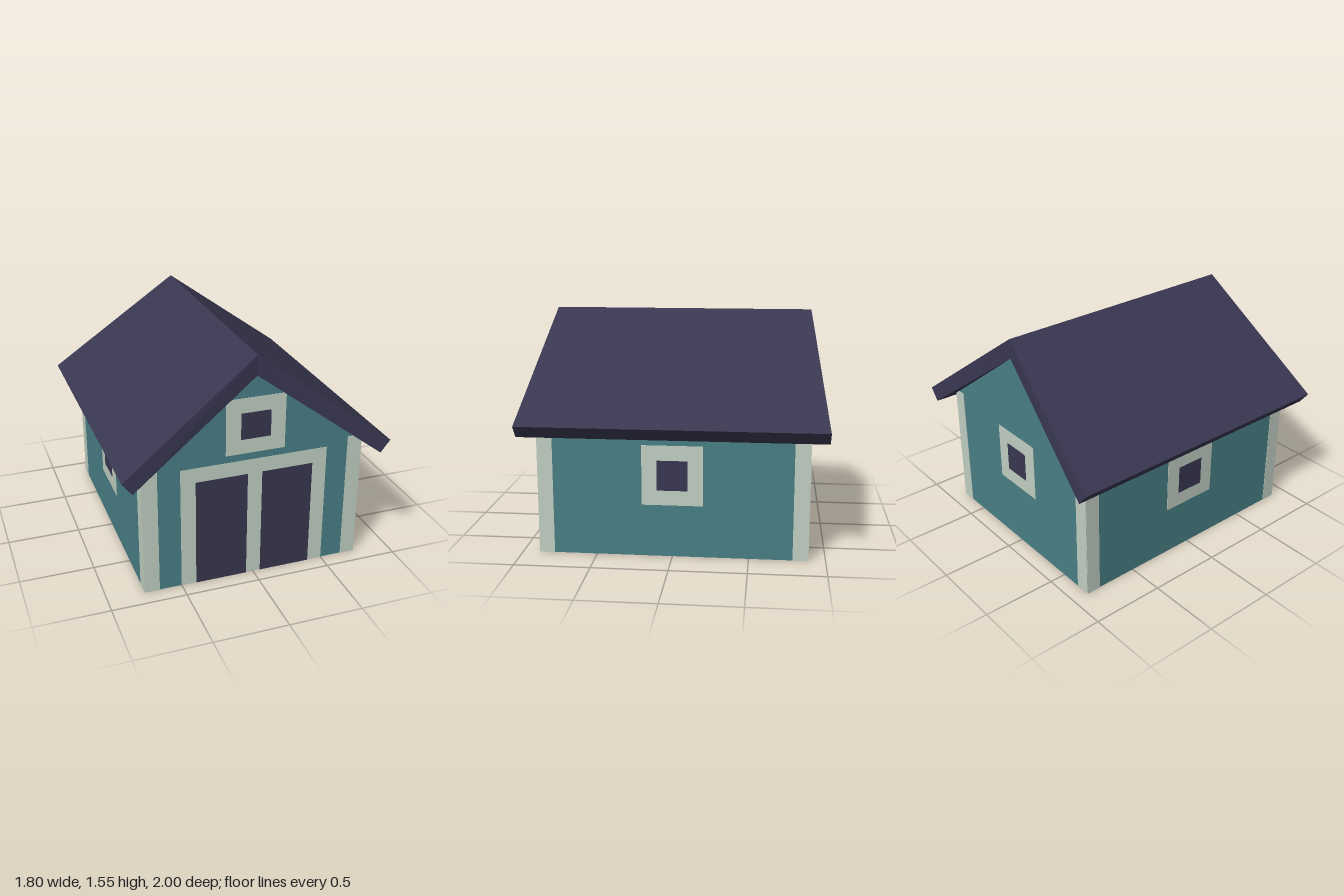
import * as THREE from 'three';

const HALF_W = 0.75, HALF_D = 0.886;

export function createModel() {
  const material = (name, color) => {
    const m = new THREE.MeshStandardMaterial({ color });
    m.name = name;
    return m;
  };
  const teal = material('teal walls', 0x498086);
  const cream = material('cream trim', 0xc2d0c3);
  const navy = material('navy roof and openings', 0x393751);

  const shed = new THREE.Group();
  shed.name = 'shed';

  // Extrudes an outline in x/y, centred on z = 0
  const extrude = (points, depth) => {
    const shape = new THREE.Shape(points.map(([x, y]) => new THREE.Vector2(x, y)));
    const geo = new THREE.ExtrudeGeometry(shape, { depth, bevelEnabled: false });
    return geo.translate(0, 0, -depth / 2);
  };
  const add = (parent, name, geo, mat) => {
    const mesh = new THREE.Mesh(geo, mat);
    mesh.name = name;
    parent.add(mesh);
    return mesh;
  };

  // Gabled body
  add(shed, 'walls', extrude([
    [-HALF_W, 0], [HALF_W, 0], [HALF_W, 0.868], [0, 1.42], [-HALF_W, 0.868],
  ], HALF_D * 2), teal);

  // Chevron roof whose overhang grows from the ridge to the eaves
  const roofGeo = extrude([
    [0, 1.555], [-0.9, 0.888], [-0.835, 0.805], [0, 1.42], [0.835, 0.805], [0.9, 0.888],
  ], 2);
  const pos = roofGeo.attributes.position;
  for (let i = 0; i < pos.count; i++) {
    if (Math.abs(pos.getX(i)) < 0.01) pos.setZ(i, Math.sign(pos.getZ(i)) * 0.89);
  }
  roofGeo.computeVertexNormals();
  add(shed, 'roof', roofGeo, navy);

  // One group per wall: local x runs along the wall, local z points outward
  const wall = (name, angle, distance) => {
    const g = new THREE.Group();
    g.name = name;
    g.rotation.y = angle;
    g.position.set(Math.sin(angle) * distance, 0, Math.cos(angle) * distance);
    shed.add(g);
    return g;
  };
  // Thin painted plate standing proud of its wall
  const plate = (parent, name, x0, x1, y0, y1, thickness, mat) => {
    const geo = new THREE.BoxGeometry(x1 - x0, y1 - y0, thickness);
    geo.translate((x0 + x1) / 2, (y0 + y1) / 2, thickness / 2);
    add(parent, name, geo, mat);
  };
  const window_ = (parent, frameY0, frameY1, paneY0, paneY1) => {
    plate(parent, 'windowFrame', -0.2, 0.2, frameY0, frameY1, 0.003, cream);
    plate(parent, 'windowPane', -0.1, 0.1, paneY0, paneY1, 0.006, navy);
  };
  const corners = (parent, half, top) => {
    plate(parent, 'cornerTrim', -half, -half + 0.1, 0, top, 0.003, cream);
    plate(parent, 'cornerTrim', half - 0.1, half, 0, top, 0.003, cream);
  };

  const front = wall('frontWall', 0, HALF_D);
  const back = wall('backWall', Math.PI, HALF_D);
  const left = wall('leftWall', Math.PI / 2, HALF_W);
  const right = wall('rightWall', -Math.PI / 2, HALF_W);

  for (const g of [front, back]) corners(g, HALF_W, 0.9);
  for (const g of [left, right]) {
    corners(g, HALF_D, 0.868);
    window_(g, 0.35, 0.75, 0.45, 0.65);
  }
  window_(front, 0.9, 1.28, 1.0, 1.18);
  window_(back, 0.45, 0.85, 0.55, 0.75);

  // Double door
  plate(front, 'doorFrame', -0.5, 0.5, 0, 0.85, 0.003, cream);
  plate(front, 'rightDoor', -0.4, -0.05, 0, 0.75, 0.006, navy);
  plate(front, 'leftDoor', 0.05, 0.4, 0, 0.75, 0.006, navy);

  return shed;
}
